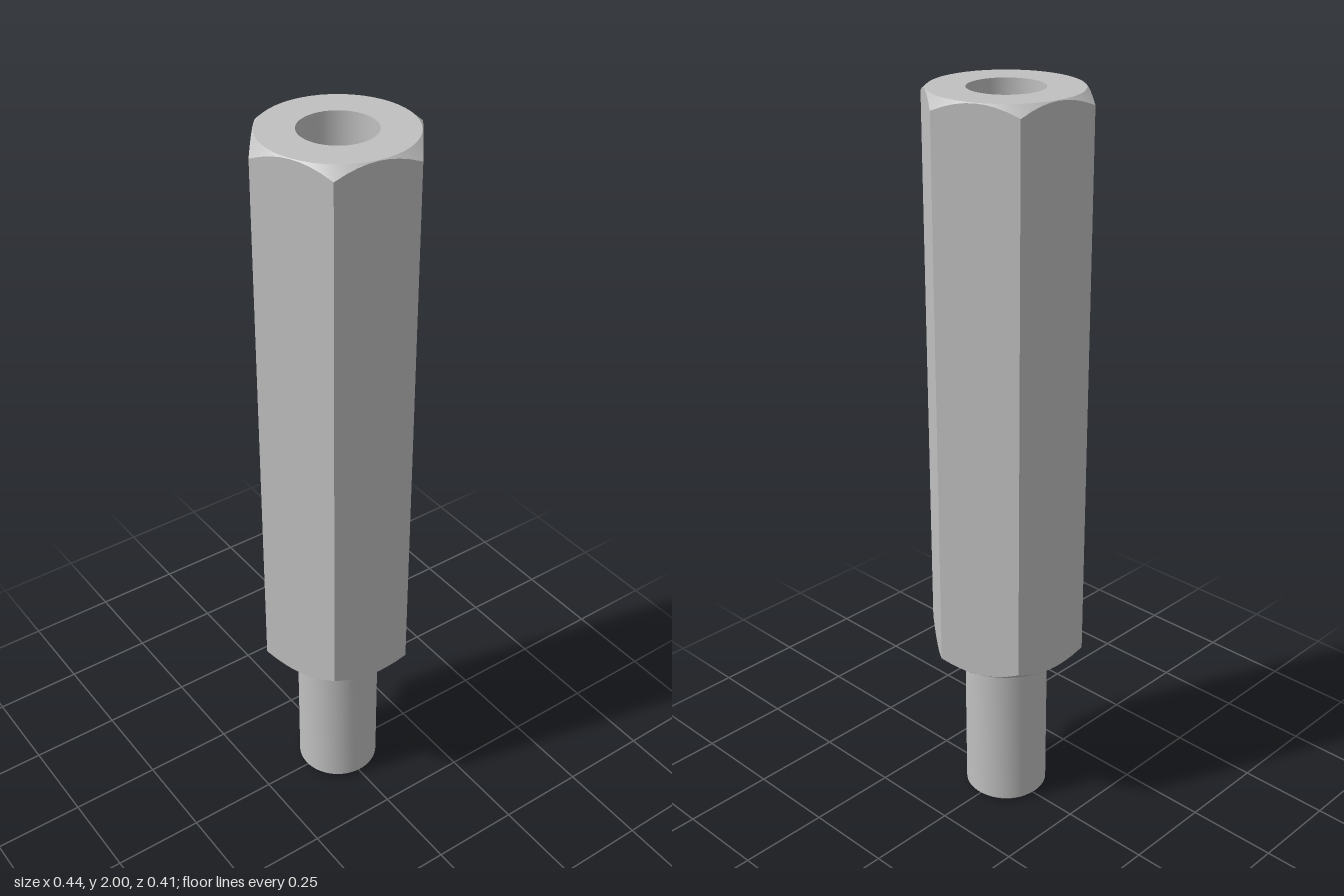
import * as THREE from 'three';
import { toCreasedNormals } from 'three/addons/utils/BufferGeometryUtils.js';

const PER_SIDE = 8;             // segments along each hexagon side
const SEGMENTS = PER_SIDE * 6;
const APOTHEM = 0.192;          // half the distance across flats
const FACE_RADIUS = 0.1905;     // round end faces left by the chamfer
const SLOPE = 0.87;             // chamfer drop per unit of radius
const TURN = THREE.MathUtils.degToRad(22.2);
const TOP = 2, SHOULDER = 0.47;
const BORE_RADIUS = 0.096, STUD_RADIUS = 0.114;

function turned(points) {
  const profile = points.map(([r, y]) => new THREE.Vector2(r, y));
  return new THREE.LatheGeometry(profile, SEGMENTS, TURN);
}

// Hexagonal bar with conical chamfers: the wall rings of a turned profile
// are pushed out to the hexagon, and their height follows the chamfer cone.
function hexBar() {
  const points = [
    [STUD_RADIUS - 0.01, SHOULDER], [FACE_RADIUS, SHOULDER],
    [APOTHEM, SHOULDER], [APOTHEM, TOP],
    [FACE_RADIUS, TOP], [BORE_RADIUS, TOP],
  ];
  const geometry = turned(points);
  const pos = geometry.attributes.position;
  for (let i = 0; i <= SEGMENTS; i++) {
    const offset = ((i % PER_SIDE) / PER_SIDE - 0.5) * Math.PI / 3;
    const r = APOTHEM / Math.cos(offset);
    const drop = (r - FACE_RADIUS) * SLOPE;
    const phi = TURN + i / SEGMENTS * Math.PI * 2;
    for (const [row, y] of [[2, SHOULDER + drop], [3, TOP - drop]]) {
      pos.setXYZ(i * points.length + row, r * Math.sin(phi), y, r * Math.cos(phi));
    }
  }
  return geometry;
}

export function createModel() {
  const group = new THREE.Group();
  const steel = new THREE.MeshStandardMaterial({ color: 0xc0c0c0 });
  steel.name = 'steel grey';

  const add = (name, geometry) => {
    const mesh = new THREE.Mesh(toCreasedNormals(geometry, Math.PI / 6), steel);
    mesh.name = name;
    group.add(mesh);
  };

  add('hexBody', hexBar());

  // Blind hole with a drill-point bottom
  add('bore', turned([[BORE_RADIUS, TOP], [BORE_RADIUS, 1.4], [0, 1.342]]));

  // Round stud with a small chamfer at its foot
  add('stud', turned([
    [0, 0], [STUD_RADIUS - 0.01, 0], [STUD_RADIUS, 0.01], [STUD_RADIUS, SHOULDER],
  ]));

  return group;
}
